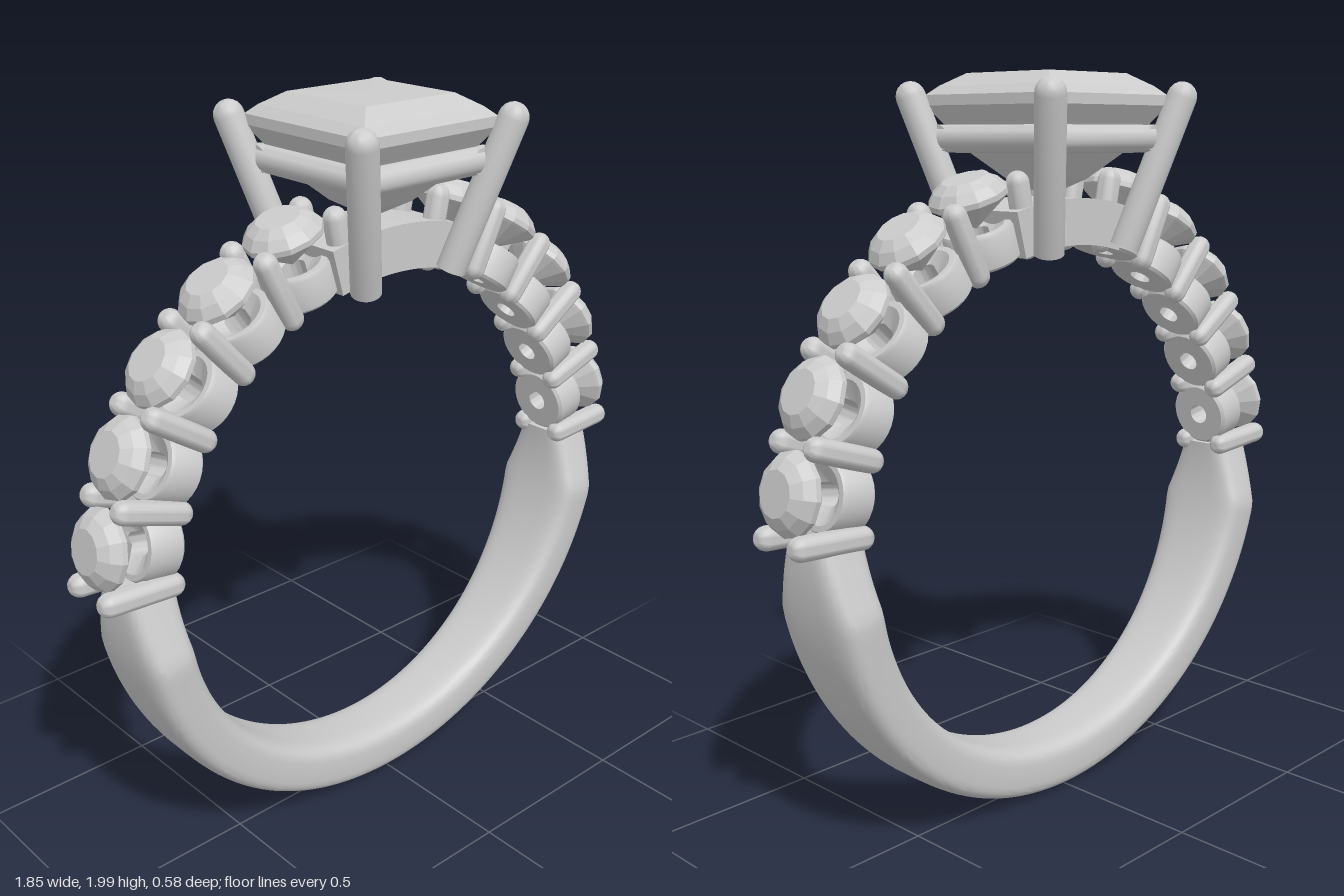
import * as THREE from 'three';
import { toCreasedNormals } from 'three/addons/utils/BufferGeometryUtils.js';

const CENTRE = 0.855, INNER = 0.7, OUTER = 0.845;
const rad = THREE.MathUtils.degToRad;
const metal = new THREE.MeshStandardMaterial({ color: 0xcccccc });
const gem = new THREE.MeshStandardMaterial({ color: 0xcccccc, flatShading: true });

function add(parent, name, geometry, material = metal) {
  const mesh = new THREE.Mesh(geometry, material);
  mesh.name = name;
  parent.add(mesh);
  return mesh;
}

function lathe(points, sides) {
  return new THREE.LatheGeometry(points.map(([x, y]) => new THREE.Vector2(x, y)), sides);
}

// Round rod between two points
function rod(parent, name, a, b, radius, roundStart, roundEnd) {
  const from = new THREE.Vector3(...a), to = new THREE.Vector3(...b);
  const dir = to.clone().sub(from), len = dir.length();
  const pts = [];
  for (let i = 0; i <= 5; i++) {
    const t = (i / 5) * Math.PI / 2;
    pts.push(roundStart ? [radius * Math.sin(t), radius * (1 - Math.cos(t))] : [radius * i / 5, 0]);
  }
  for (let i = 0; i <= 5; i++) {
    const t = (i / 5) * Math.PI / 2;
    pts.push(roundEnd ? [radius * Math.cos(t), len - radius * (1 - Math.sin(t))] : [radius * (1 - i / 5), len]);
  }
  const mesh = add(parent, name, toCreasedNormals(lathe(pts, 20), 0.8));
  mesh.position.copy(from);
  mesh.quaternion.setFromUnitVectors(new THREE.Vector3(0, 1, 0), dir.normalize());
  return mesh;
}

// Half width of the shank at a given height: narrow foot, wide shoulder, tapered neck
function shankHalfWidth(y) {
  const shoulder = 0.71;
  if (y > shoulder) return THREE.MathUtils.mapLinear(y, shoulder, 0.9, 0.142, 0.075);
  return THREE.MathUtils.lerp(0.09, 0.142, Math.pow(Math.max(y, 0) / shoulder, 0.8));
}

function shankGeometry() {
  const steps = 96, sides = 40, pos = [], index = [];
  const start = rad(-183.4), end = rad(3.4);
  const mid = (INNER + OUTER) / 2, half = (OUTER - INNER) / 2;
  const soft = v => Math.sign(v) * Math.pow(Math.abs(v), 0.5);
  for (let i = 0; i <= steps; i++) {
    const a = start + (end - start) * i / steps;
    const w = shankHalfWidth(CENTRE + mid * Math.sin(a));
    for (let j = 0; j < sides; j++) {
      const p = (j / sides) * Math.PI * 2;
      const r = mid + half * soft(Math.cos(p));
      pos.push(r * Math.cos(a), CENTRE + r * Math.sin(a), w * soft(Math.sin(p)));
      if (i < steps) {
        const k = i * sides + j, n = i * sides + (j + 1) % sides;
        index.push(k, k + sides, n, n, k + sides, n + sides);
      }
    }
  }
  // End caps
  const last = steps * sides;
  for (let j = 1; j < sides - 1; j++) {
    index.push(0, j, j + 1, last, last + j + 1, last + j);
  }
  const g = new THREE.BufferGeometry();
  g.setAttribute('position', new THREE.Float32BufferAttribute(pos, 3));
  g.setIndex(index);
  return toCreasedNormals(g, 0.36);
}

// Group whose local +y points outward from the ring centre
function radialGroup(parent, name, degrees) {
  const g = new THREE.Group();
  g.name = name;
  g.position.y = CENTRE;
  g.rotation.z = rad(degrees - 90);
  parent.add(g);
  return g;
}

export function createModel() {
  const ring = new THREE.Group();
  ring.name = 'ring';
  add(ring, 'shank', shankGeometry());

  // Shoulder stones in cups, with pairs of prongs between them
  const stone = lathe([[0, 0.795], [0.098, 0.868], [0.105, 0.874], [0.105, 0.888],
    [0.086, 0.912], [0.058, 0.93], [0, 0.93]], 12);
  const cup = toCreasedNormals(lathe([[0.03, 0.79], [0.03, 0.702], [0.088, 0.702], [0.096, 0.71],
    [0.096, 0.79], [0.09, 0.8], [0.075, 0.8], [0.03, 0.765]], 28), 0.6);
  for (const side of [1, -1]) {
    const place = a => (side > 0 ? a : 180 - a);
    for (let i = 0; i < 6; i++) {
      const angle = 3.4 + 15 * i;
      const prongs = radialGroup(ring, 'prongPair', place(angle));
      for (const z of [-0.066, 0.066]) {
        rod(prongs, 'smallProng', [0, 0.685, z], [0, i ? 0.915 : 0.928, z], 0.031, true, true);
      }
      if (i === 5) continue;
      const setting = radialGroup(ring, 'stoneSetting', place(angle + 7.5));
      add(setting, 'cup', cup);
      add(setting, 'smallStone', stone, gem);
    }
  }

  // Curved bridge under the centre stone
  const arc = new THREE.Shape();
  arc.absarc(0, CENTRE, 0.823, rad(75), rad(105), false);
  arc.absarc(0, CENTRE, INNER, rad(105), rad(75), true);
  const bridge = new THREE.ExtrudeGeometry(arc, { depth: 0.2, bevelEnabled: false, curveSegments: 16 });
  bridge.translate(0, 0, -0.1);
  add(ring, 'bridge', toCreasedNormals(bridge, 0.5));

  // Centre setting: four splayed prongs and a square rail
  const head = new THREE.Group();
  head.name = 'head';
  ring.add(head);
  for (const [x, z] of [[1, 1], [1, -1], [-1, 1], [-1, -1]]) {
    rod(head, 'mainProng', [0.148 * x, 1.545, 0.148 * z], [0.262 * x, 1.975, 0.262 * z], 0.04, false, true);
  }
  for (let i = 0; i < 4; i++) {
    const rail = rod(new THREE.Group(), 'rail', [-0.215, 1.83, 0.19], [0.215, 1.83, 0.19], 0.036, false, false);
    const side = new THREE.Group();
    side.name = 'railSide';
    side.rotation.y = i * Math.PI / 2;
    side.add(rail);
    head.add(side);
  }

  // Square-cut centre stone
  const cut = [[0, 1.68], [0.075, 1.725], [0.145, 1.795], [0.195, 1.872], [0.225, 1.915],
    [0.225, 1.942], [0.2, 1.965], [0.148, 1.998], [0, 2]];
  const square = lathe(cut.map(([r, y]) => [r * Math.SQRT2, y]), 4);
  square.rotateY(Math.PI / 4);
  add(head, 'centreStone', square, gem);

  return ring;
}
